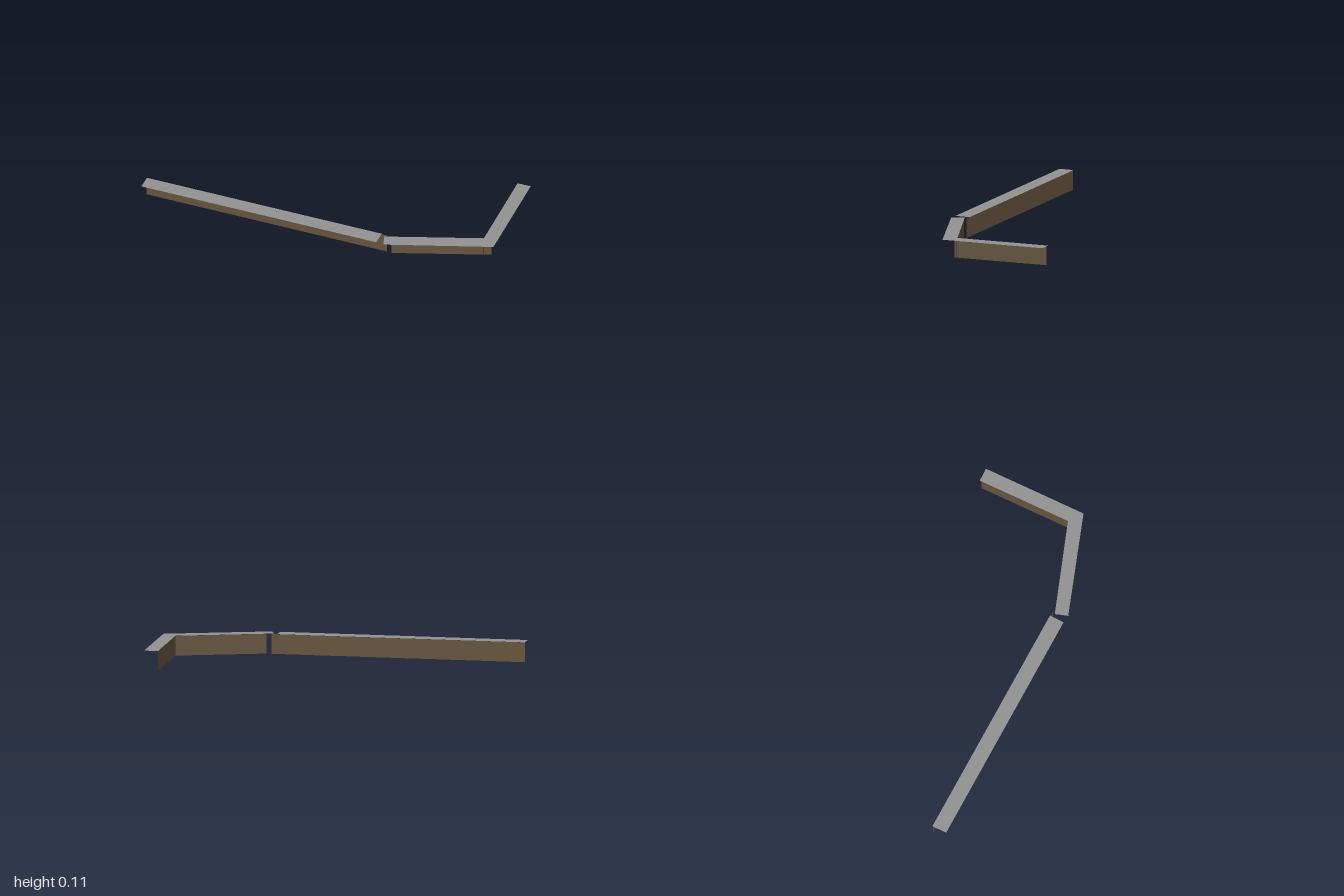
import * as THREE from 'three';

const HEIGHT = 0.11;

export function createModel() {
  const group = new THREE.Group();
  const wood = new THREE.MeshStandardMaterial({ color: 0x66553f, side: THREE.DoubleSide });
  wood.name = 'brown panel';
  const stone = new THREE.MeshStandardMaterial({ color: 0x939393, side: THREE.DoubleSide });
  stone.name = 'grey counter';

  // Flat counter top from a plan outline of [x, z] corners
  function addTop(name, outline) {
    const shape = new THREE.Shape(outline.map(([x, z]) => new THREE.Vector2(x, -z)));
    const mesh = new THREE.Mesh(new THREE.ShapeGeometry(shape).rotateX(-Math.PI / 2), stone);
    mesh.position.y = HEIGHT;
    mesh.name = name;
    group.add(mesh);
  }

  // Upright sheet standing between two plan points
  function addPanel(name, [x1, z1], [x2, z2]) {
    const dx = x2 - x1, dz = z2 - z1;
    const mesh = new THREE.Mesh(new THREE.PlaneGeometry(Math.hypot(dx, dz), HEIGHT - 0.001), wood);
    mesh.position.set((x1 + x2) / 2, (HEIGHT - 0.001) / 2, (z1 + z2) / 2);
    mesh.rotation.y = Math.atan2(-dz, dx);
    mesh.name = name;
    group.add(mesh);
  }

  // Long straight counter
  addTop('longCounterTop', [[-1, 0.387], [0.38, 0.387], [0.38, 0.303], [-1, 0.303]]);
  addPanel('longCounterPanel', [-1, 0.306], [0.412, 0.306]);

  // Angled counter and its return, mitred at the corner
  addTop('angledCounterTop', [[0.425, 0.392], [0.99, 0.19], [0.912, 0.135], [0.4, 0.322]]);
  addTop('returnCounterTop', [[0.99, 0.19], [0.973, -0.402], [0.896, -0.4], [0.912, 0.135]]);

  // The two panels cross slightly past each other at the corner
  addPanel('angledCounterPanel', [0.44, 0.309], [0.952, 0.122]);
  addPanel('returnCounterPanel', [0.913, 0.152], [0.897, -0.39]);

  return group;
}
